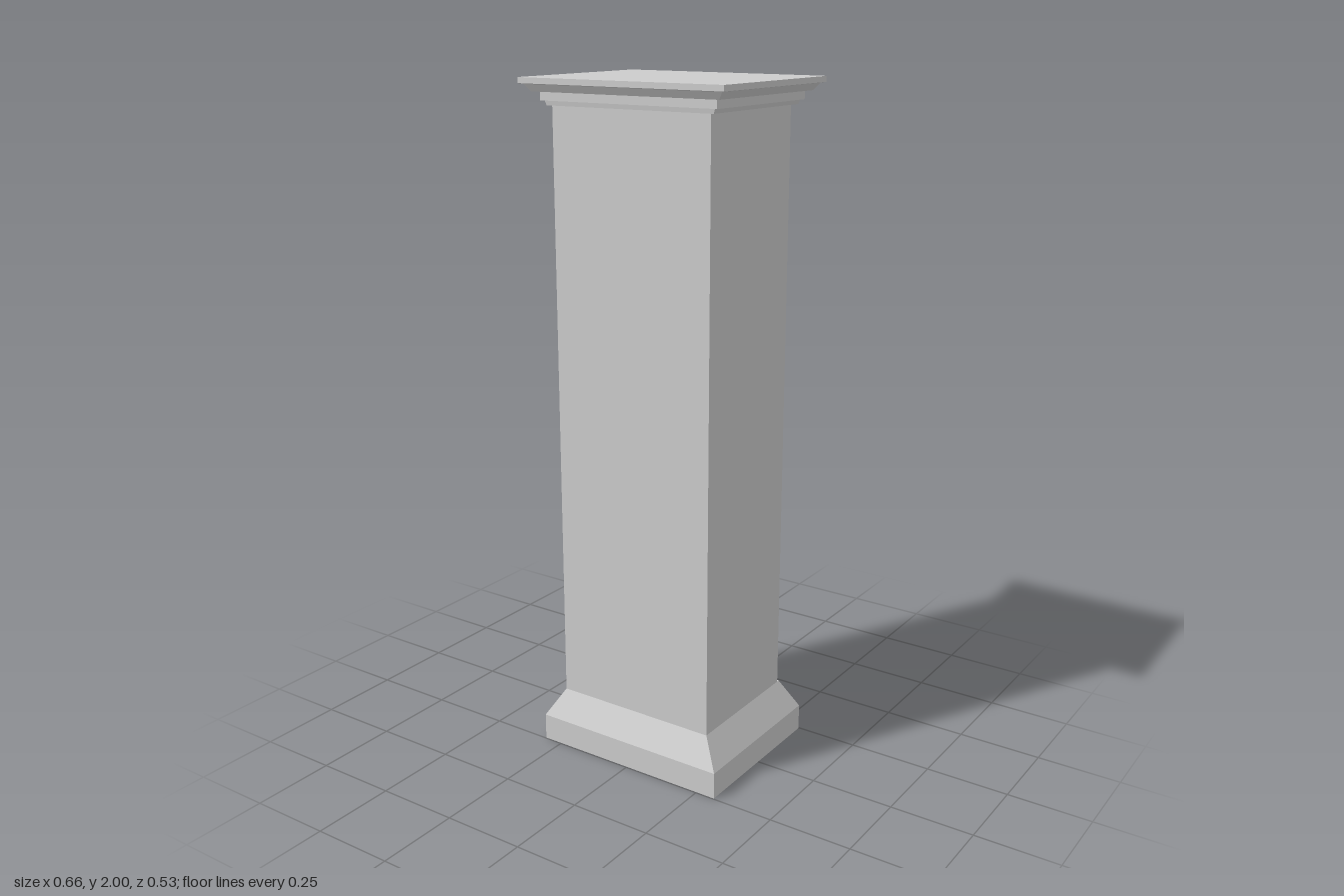
import * as THREE from 'three';

const material = new THREE.MeshStandardMaterial({ color: 0xcccccc });

function addMesh(parent, name, geometry) {
  const mesh = new THREE.Mesh(geometry, material);
  mesh.name = name;
  parent.add(mesh);
  return mesh;
}

// Lofts rectangular rings [halfX, halfZ, y] with crisp edges and an end cap
function rectLoft(rings, capStart = true) {
  const signs = [[1, 1], [1, -1], [-1, -1], [-1, 1]];
  const loops = rings.map(([hx, hz, y]) => signs.map(([sx, sz]) => [sx * hx, y, sz * hz]));
  const positions = [];
  const quad = (a, b, c, d) => positions.push(...a, ...b, ...c, ...a, ...c, ...d);
  for (let k = 0; k < loops.length - 1; k++) {
    for (let i = 0; i < 4; i++) {
      const j = (i + 1) % 4;
      quad(loops[k][i], loops[k][j], loops[k + 1][j], loops[k + 1][i]);
    }
  }
  quad(...loops[loops.length - 1]);
  if (capStart) quad(...[...loops[0]].reverse());
  const geometry = new THREE.BufferGeometry();
  geometry.setAttribute('position', new THREE.Float32BufferAttribute(positions, 3));
  geometry.computeVertexNormals();
  return geometry;
}

function rectPath(path, x, y0, y1) {
  path.moveTo(-x, y0);
  path.lineTo(x, y0);
  path.lineTo(x, y1);
  path.lineTo(-x, y1);
  path.closePath();
  return path;
}

export function createModel() {
  const group = new THREE.Group();
  group.name = 'pedestalCabinet';

  const bottom = 0.165, top = 1.93;
  const bodyX = 0.257, bodyZ = 0.207, doorX = 0.225;
  const stileZ = 0.198;

  // Plinth with sloped shoulder
  addMesh(group, 'plinth', rectLoft([
    [0.31, 0.247, 0], [0.31, 0.247, 0.08], [bodyX, bodyZ, 0.168],
  ]));

  // Carcass: plan outline with a shallow bay at the back for the door
  const plan = new THREE.Shape([
    [-bodyX, -bodyZ], [bodyX, -bodyZ], [bodyX, stileZ], [doorX, stileZ],
    [doorX, 0.17], [-doorX, 0.17], [-doorX, stileZ], [-bodyX, stileZ],
  ].map(([x, y]) => new THREE.Vector2(x, y)));
  const carcass = new THREE.ExtrudeGeometry(plan, { depth: top - bottom, bevelEnabled: false });
  carcass.rotateX(-Math.PI / 2).translate(0, bottom, 0);
  addMesh(group, 'carcass', carcass);

  // Stepped cornice and top board
  addMesh(group, 'cornice', rectLoft([
    [0.27, 0.215, 1.925], [0.275, 0.217, 1.938], [0.285, 0.224, 1.938], [0.285, 0.224, 1.962],
    [0.302, 0.24, 1.962], [0.318, 0.253, 1.982],
    [0.33, 0.263, 1.984], [0.33, 0.263, 2],
  ]));

  // Door on the back, with two recessed panels and a knob
  const door = new THREE.Group();
  door.name = 'door';
  group.add(door);
  const panels = [
    { name: 'upperPanel', x: 0.18, y0: 1.125, y1: 1.885, inset: 0, depth: 0.015 },
    { name: 'lowerPanel', x: 0.162, y0: 0.225, y1: 1.02, inset: 0.021, depth: 0.029 },
  ];
  const face = rectPath(new THREE.Shape(), doorX, bottom, top);
  for (const p of panels) face.holes.push(rectPath(new THREE.Path(), p.x, p.y0, p.y1));
  const frame = new THREE.ExtrudeGeometry(face, { depth: bodyZ - stileZ, bevelEnabled: false });
  frame.translate(0, 0, -bodyZ);
  addMesh(door, 'doorFrame', frame);

  for (const { name, x, y0, y1, inset, depth } of panels) {
    const half = (y1 - y0) / 2;
    const recess = rectLoft([[x, half, 0], [x - inset, half - inset, -depth]], false);
    addMesh(door, name, recess.rotateX(-Math.PI / 2).translate(0, (y0 + y1) / 2, -bodyZ));
  }

  // Round knob on a short stem
  const knobProfile = [[0.008, 0], [0.008, 0.006], [0.016, 0.009], [0.02, 0.015],
    [0.018, 0.021], [0.011, 0.025], [0, 0.027]].map(([r, y]) => new THREE.Vector2(r, y));
  const knob = addMesh(door, 'knob', new THREE.LatheGeometry(knobProfile, 20));
  knob.rotation.x = -Math.PI / 2;
  knob.position.set(0.197, 1, -bodyZ);

  return group;
}
